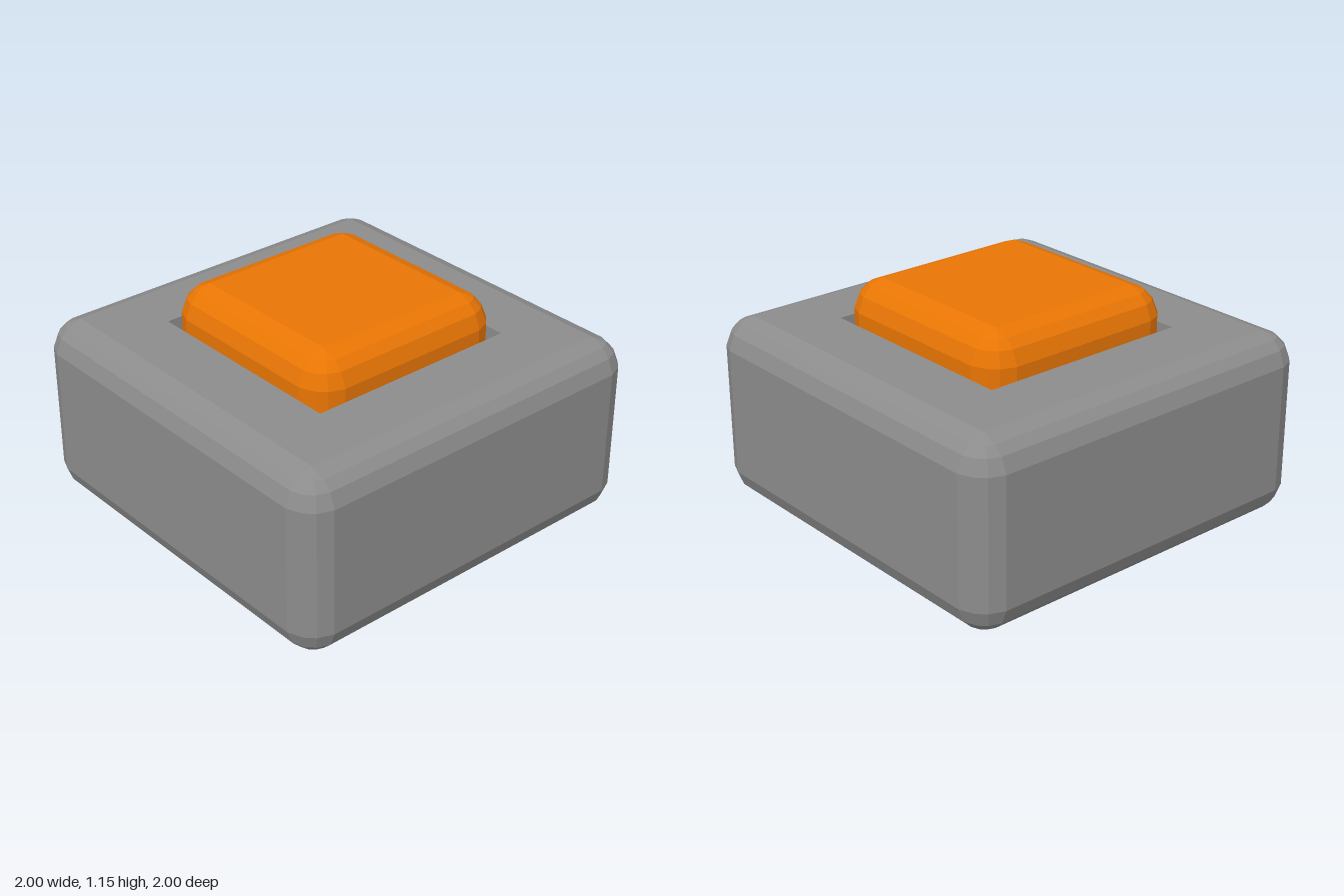
import * as THREE from 'three';
import { mergeVertices } from 'three/addons/utils/BufferGeometryUtils.js';

const BEVEL = 0.145;
// Quarter profile of every bevel, slightly flatter than a circle
const ARC = [[1, 0], [0.8, 0.51], [0.51, 0.8], [0, 1]];

// Skins a stack of rounded-square rings [corner centre, height, corner radius].
function loft(rings) {
  const positions = [];
  const index = [];
  const count = 4 * ARC.length;
  for (const [c, y, r] of rings) {
    for (let q = 0; q < 4; q++) {
      for (const [u, v] of ARC) {
        let x = c + r * u;
        let z = -c - r * v;
        for (let turn = 0; turn < q; turn++) [x, z] = [z, -x];
        positions.push(x, y, z);
      }
    }
  }
  for (let i = 0; i < rings.length - 1; i++) {
    for (let j = 0; j < count; j++) {
      const a = i * count + j;
      const b = i * count + (j + 1) % count;
      index.push(a, b, b + count, a, b + count, a + count);
    }
  }
  const geometry = new THREE.BufferGeometry();
  geometry.setAttribute('position', new THREE.Float32BufferAttribute(positions, 3));
  geometry.setIndex(index);

  // Weld coincident points and drop collapsed triangles
  const welded = mergeVertices(geometry, 1e-4);
  const old = welded.index.array;
  const kept = [];
  for (let i = 0; i < old.length; i += 3) {
    const [a, b, c] = [old[i], old[i + 1], old[i + 2]];
    if (a !== b && b !== c && c !== a) kept.push(a, b, c);
  }
  welded.setIndex(kept);
  const flat = welded.toNonIndexed();
  flat.computeVertexNormals();
  return flat;
}

// Rings of a closed rounded block, without its flat top
function blockRings(half, bottom, top) {
  const c = half - BEVEL;
  const lower = ARC.map(([u, v]) => [c, bottom + BEVEL * (1 - v), BEVEL * u]).reverse();
  const upper = ARC.map(([u, v]) => [c, top - BEVEL * (1 - v), BEVEL * u]);
  return [[0, bottom, 0], ...lower, ...upper];
}

function part(name, rings, color) {
  const material = new THREE.MeshStandardMaterial({ color, flatShading: true });
  const mesh = new THREE.Mesh(loft(rings), material);
  mesh.name = name;
  return mesh;
}

export function createModel() {
  const model = new THREE.Group();
  model.name = 'pushButton';

  const top = 0.936;
  const hole = 0.557;
  const floor = 0.5;

  // Housing with a sharp-cornered square pocket in its top
  model.add(part('housing', [
    ...blockRings(1, 0, top),
    [hole, top, 0], [hole, floor, 0], [0, floor, 0],
  ], 0x8c8c8c));

  // Rounded key seated in the pocket
  model.add(part('buttonKey', [
    ...blockRings(0.556, floor + 0.01, 1.148),
    [0, 1.148, 0],
  ], 0xe87504));

  return model;
}
